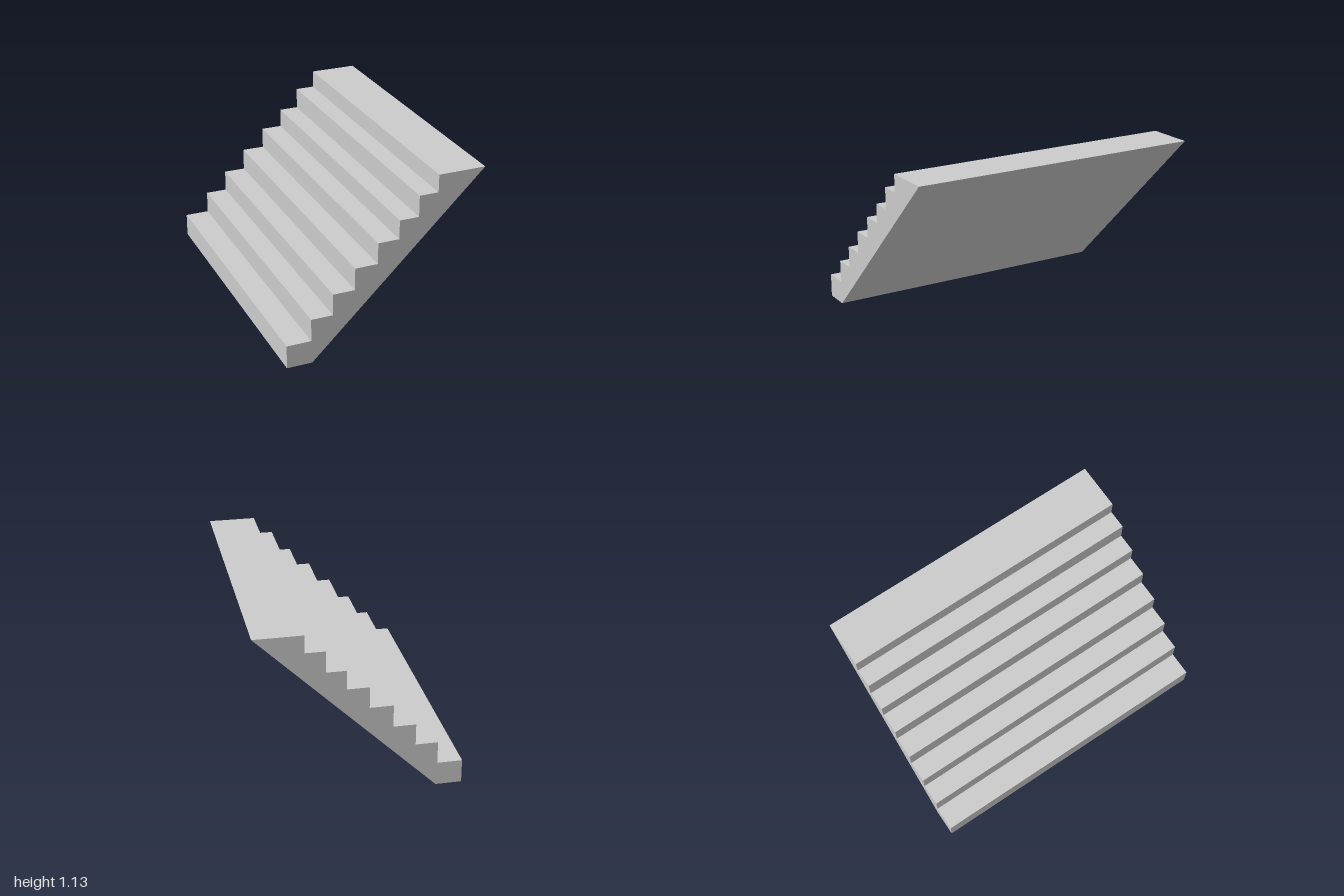
import * as THREE from 'three';

// Each step: x of its riser, height of its tread
const STEPS = [
  [-0.667, 0.157], [-0.503, 0.308], [-0.357, 0.453], [-0.21, 0.603],
  [-0.057, 0.746], [0.086, 0.874], [0.217, 1.017], [0.346, 1.135],
];
const END_X = 0.665;   // far edge of the top landing
const FOOT_X = -0.497; // where the sloping underside meets the ground
const WIDTH = 2;

export function createModel() {
  const group = new THREE.Group();
  group.name = 'staircase';

  // Stepped side profile, closed by the sloping underside
  const profile = new THREE.Shape();
  profile.moveTo(FOOT_X, 0);
  profile.lineTo(END_X, STEPS[STEPS.length - 1][1]);
  for (let i = STEPS.length - 1; i >= 0; i--) {
    const [x, top] = STEPS[i];
    profile.lineTo(x, top);
    profile.lineTo(x, i > 0 ? STEPS[i - 1][1] : 0);
  }
  profile.closePath();

  // One solid flight across the full width
  const geometry = new THREE.ExtrudeGeometry(profile, { depth: WIDTH, bevelEnabled: false });
  geometry.translate(0, 0, -WIDTH / 2);
  const flight = new THREE.Mesh(
    geometry,
    new THREE.MeshStandardMaterial({ color: 0xcccccc, flatShading: true }),
  );
  flight.name = 'stairFlight';
  group.add(flight);

  return group;
}
